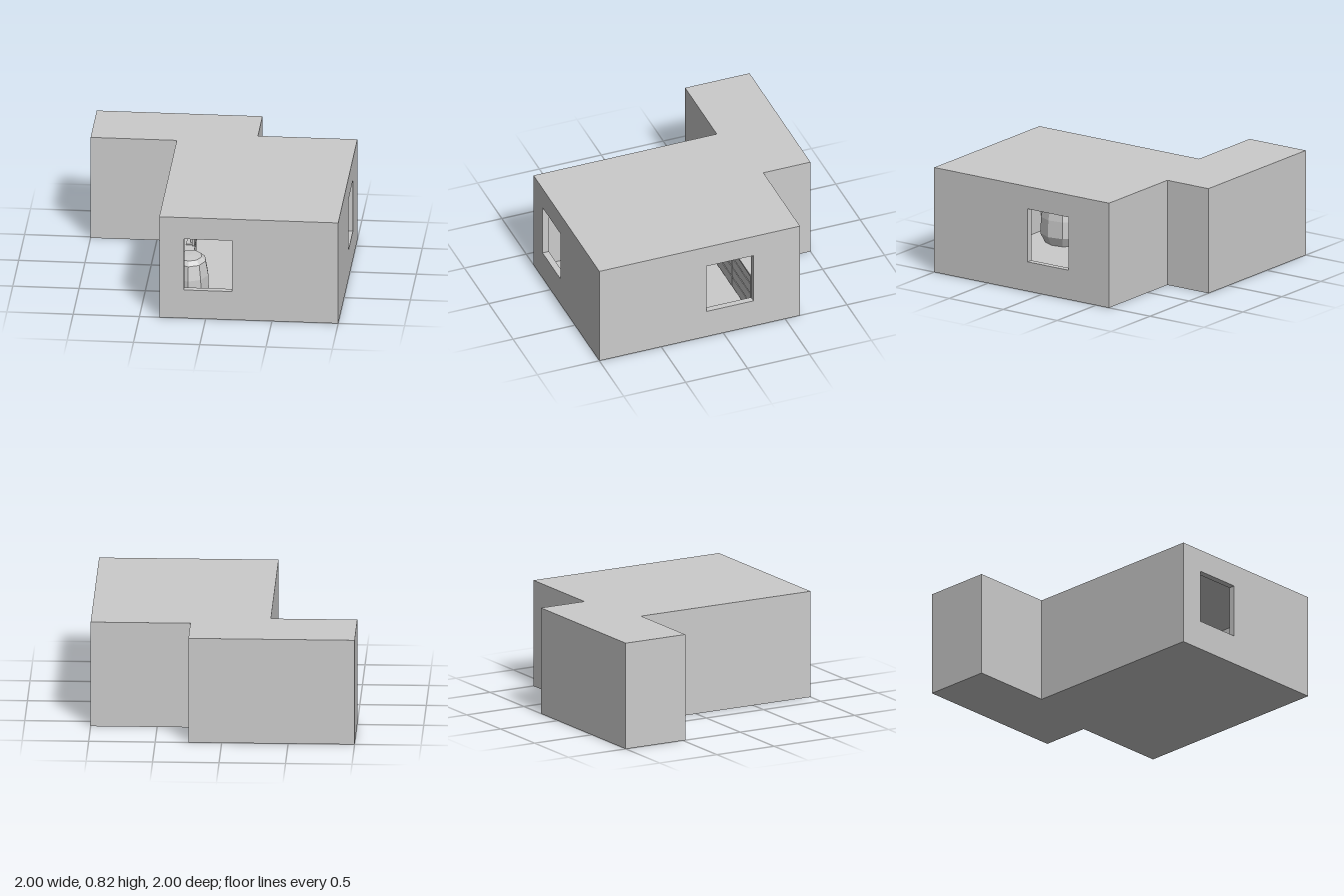
import * as THREE from 'three';

const H = 0.82, T = 0.05, SLAB = 0.02;
const grey = new THREE.MeshStandardMaterial({ color: 0xcccccc });
const facet = new THREE.MeshStandardMaterial({ color: 0xcccccc, flatShading: true });

// Floor plan corners [x, z], counter-clockwise seen from above
const PLAN = [
  [-0.35, 1], [1, 1], [1, -0.62], [0.25, -0.62],
  [0.25, -1], [-1, -1], [-1, -0.48], [-0.35, -0.48],
];
// Window openings by wall index: distance along the wall and height
const WINDOWS = {
  0: [0.185, 0.23, 0.55, 0.645],
  1: [0.865, 0.23, 1.245, 0.645],
};

function add(parent, name, geometry, material = grey) {
  const mesh = new THREE.Mesh(geometry, material);
  mesh.name = name;
  parent.add(mesh);
  return mesh;
}

// Box given by its lower and upper corners
function block(parent, name, x0, y0, z0, x1, y1, z1) {
  const mesh = add(parent, name, new THREE.BoxGeometry(x1 - x0, y1 - y0, z1 - z0));
  mesh.position.set((x0 + x1) / 2, (y0 + y1) / 2, (z0 + z1) / 2);
  return mesh;
}

function group(parent, name) {
  const g = new THREE.Group();
  g.name = name;
  parent.add(g);
  return g;
}

function rect(x0, y0, x1, y1, Type = THREE.Shape) {
  return new Type([[x0, y0], [x1, y0], [x1, y1], [x0, y1]].map(p => new THREE.Vector2(...p)));
}

function slab(parent, name, y) {
  const shape = new THREE.Shape(PLAN.map(([x, z]) => new THREE.Vector2(x, -z)));
  const geo = new THREE.ExtrudeGeometry(shape, { depth: SLAB, bevelEnabled: false });
  geo.rotateX(-Math.PI / 2);
  add(parent, name, geo).position.y = y;
}

// Each wall butts against the one before it, at inner and outer corners alike
function walls(parent) {
  const n = PLAN.length;
  PLAN.forEach(([x, z], i) => {
    const [px, pz] = PLAN[(i + n - 1) % n], [qx, qz] = PLAN[(i + 1) % n];
    const dx = qx - x, dz = qz - z;
    const turn = Math.sign((z - pz) * dx - (x - px) * dz);
    const shape = rect(turn * T, SLAB, Math.hypot(dx, dz), H - SLAB);
    if (WINDOWS[i]) shape.holes.push(rect(...WINDOWS[i], THREE.Path));
    const geo = new THREE.ExtrudeGeometry(shape, { depth: T, bevelEnabled: false });
    geo.translate(0, 0, -T);
    const wall = add(parent, WINDOWS[i] ? 'windowWall' : 'wall', geo);
    wall.position.set(x, 0, z);
    wall.rotation.y = Math.atan2(-dz, dx);
  });
}

export function createModel() {
  const model = new THREE.Group();
  model.name = 'room';

  // Shell
  slab(model, 'floor', 0);
  slab(model, 'roof', H - SLAB);
  walls(model);

  // Chest of drawers along the back wall
  const chest = group(model, 'drawerChest');
  block(chest, 'chestTop', 0.09, 0.41, -0.57, 0.93, 0.425, -0.245);
  block(chest, 'chestBody', 0.12, 0.04, -0.57, 0.9, 0.41, -0.28);
  for (const x of [0.105, 0.9]) block(chest, 'chestSide', x, SLAB, -0.57, x + 0.015, 0.41, -0.255);
  for (let row = 0; row < 4; row++) {
    const y = 0.045 + row * 0.09;
    for (let col = 0; col < 2; col++) {
      const x = 0.125 + col * 0.39;
      block(chest, 'drawerFront', x, y, -0.28, x + 0.38, y + 0.082, -0.262);
    }
  }

  // Desk with screen by the side wall
  const desk = group(model, 'desk');
  block(desk, 'deskTop', -0.3, 0.29, 0.08, -0.14, 0.302, 0.44);
  for (const z of [0.1, 0.4]) {
    for (const x of [-0.29, -0.17]) block(desk, 'deskLeg', x, SLAB, z, x + 0.02, 0.29, z + 0.02);
  }
  block(desk, 'deskDrawer', -0.29, 0.2, 0.125, -0.16, 0.29, 0.25);
  block(desk, 'screenFoot', -0.21, 0.302, 0.2, -0.15, 0.31, 0.3);
  block(desk, 'screen', -0.16, 0.32, 0.15, -0.14, 0.44, 0.36);
  block(desk, 'screenNeck', -0.18, 0.31, 0.24, -0.16, 0.38, 0.27);

  // Wall shelf with a row of books
  const shelf = group(model, 'wallShelf');
  block(shelf, 'shelfBoard', -0.3, 0.555, 0.1, -0.11, 0.567, 0.5);
  for (let i = 0; i < 7; i++) {
    const z = 0.15 + i * 0.045;
    block(shelf, 'book', -0.29, 0.567, z, -0.13 - 0.012 * (i % 3), 0.64 + 0.012 * (i % 4), z + 0.035);
  }

  // Faceted bean bag seat
  const profile = [[0, 0], [0.14, 0], [0.18, 0.07], [0.175, 0.2], [0.15, 0.31], [0.11, 0.34], [0, 0.345]];
  const bag = add(model, 'beanBag',
    new THREE.LatheGeometry(profile.map(p => new THREE.Vector2(...p)), 9), facet);
  bag.position.set(-0.15, SLAB, 0.64);
  bag.scale.set(0.82, 1, 1);
  return model;
}
